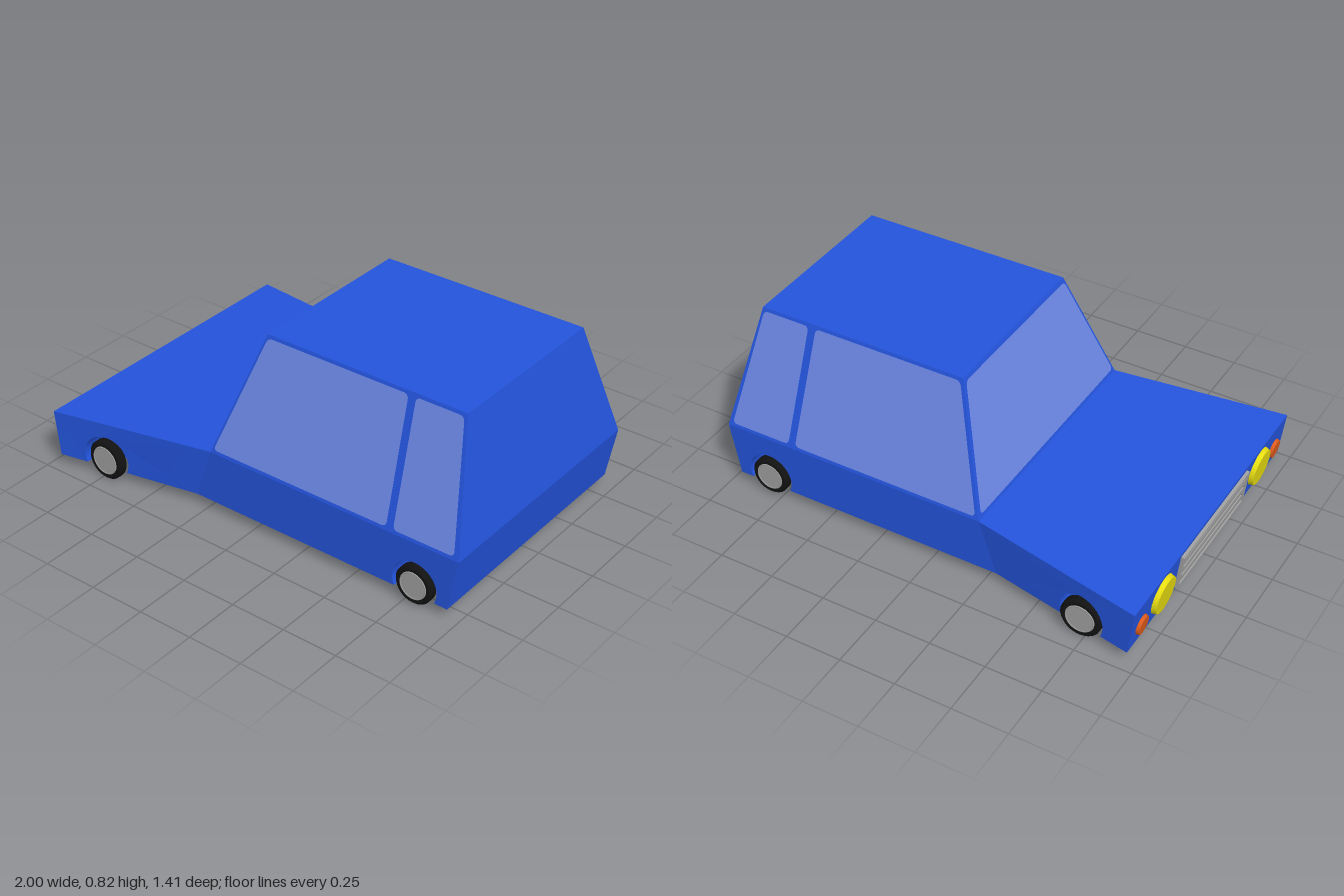
import * as THREE from 'three';

const mat = (name, color) => {
  const m = new THREE.MeshStandardMaterial({ color, side: THREE.DoubleSide });
  m.name = name;
  return m;
};

export function createModel() {
  const paint = mat('blue paint', 0x2454dc), glass = mat('pale blue glass', 0x6c88e6);
  const rubber = mat('black rubber', 0x121212), metal = mat('grey metal', 0xa0a0a0);
  const dark = mat('dark grille', 0x4a4a4a);
  const yellow = mat('yellow lamp', 0xe6dc10), orange = mat('orange lamp', 0xdc5a1c);

  const car = new THREE.Group();
  car.name = 'car';
  const add = (name, geo, material, parent = car) => {
    const m = new THREE.Mesh(geo, material);
    m.name = name;
    parent.add(m);
    return m;
  };

  // Flat outline laid onto a sloping surface: map(a, b) gives the 3D point
  const panel = (name, material, shape, map) => {
    const geo = new THREE.ShapeGeometry(shape, 6);
    const p = geo.attributes.position;
    for (let i = 0; i < p.count; i++) p.setXYZ(i, ...map(p.getX(i), p.getY(i)));
    geo.computeVertexNormals();
    return add(name, geo, material);
  };
  const outline = pts => new THREE.Shape(pts.map(p => new THREE.Vector2(...p)));

  // Polygon with softened corners
  const rounded = (pts, r = 0.022) => {
    const v = pts.map(p => new THREE.Vector2(...p)), s = new THREE.Shape();
    v.forEach((c, i) => {
      const toward = q => c.clone().add(q.clone().sub(c).setLength(r));
      const a = toward(v[(i + v.length - 1) % v.length]), b = toward(v[(i + 1) % v.length]);
      if (i) s.lineTo(a.x, a.y); else s.moveTo(a.x, a.y);
      s.quadraticCurveTo(c.x, c.y, b.x, b.y);
    });
    s.closePath();
    return s;
  };

  // Strip of quads between two rows of points
  const strip = (name, rowA, rowB) => {
    const pos = [];
    for (let i = 0; i + 1 < rowA.length; i++) {
      pos.push(...rowA[i], ...rowA[i + 1], ...rowB[i + 1], ...rowA[i], ...rowB[i + 1], ...rowB[i]);
    }
    const geo = new THREE.BufferGeometry();
    geo.setAttribute('position', new THREE.Float32BufferAttribute(pos, 3));
    geo.computeVertexNormals();
    return add(name, geo, paint);
  };
  const across = (name, [x1, y1, z1], [x2, y2, z2]) =>
    strip(name, [[x1, y1, z1], [x1, y1, -z1]], [[x2, y2, z2], [x2, y2, -z2]]);

  // Half-width of the lower body: flares toward the nose ahead of a slanted fold
  const sideZ = (x, y) => {
    const nose = -0.955 - 0.025 * (y - 0.05) / 0.205, fold = -0.3 + (y - 0.05) / 3;
    return 0.705 - 0.13 * THREE.MathUtils.clamp((x - nose) / (fold - nose), 0, 1);
  };
  const cabinZ = y => 0.575 - 0.175 * (y - 0.29) / 0.53;

  // Panels that span the full width
  across('bonnet', [-0.98, 0.255, 0.705], [-0.22, 0.29, 0.575]);
  across('nosePanel', [-0.955, 0.05, 0.705], [-0.98, 0.255, 0.705]);
  across('windscreenFrame', [-0.22, 0.29, 0.575], [-0.05, 0.82, 0.4]);
  across('roof', [-0.05, 0.82, 0.4], [0.9, 0.82, 0.4]);
  across('tailUpper', [0.9, 0.82, 0.4], [1, 0.29, 0.575]);
  across('tailLower', [1, 0.29, 0.575], [0.955, 0.05, 0.575]);

  // Wheel arch from its front foot over the top to its rear foot
  const arch = cx => {
    const start = Math.asin(-0.045 / 0.105), pts = [];
    for (let i = 0; i <= 20; i++) {
      const a = Math.PI - start + (2 * start - Math.PI) * i / 20;
      pts.push([cx + 0.105 * Math.cos(a), 0.095 + 0.105 * Math.sin(a)]);
    }
    return pts;
  };
  const axles = [
    { name: 'front', x: -0.73, y: 0.09, r: 0.09, z: 0.65, inner: 0.56 },
    { name: 'rear', x: 0.8, y: 0.095, r: 0.086, z: 0.5625, inner: 0.47 },
  ];
  const arches = axles.map(a => arch(a.x));

  // Floor with notches for the wheels
  const edge = [[-0.955, 0.705]];
  axles.forEach((a, i) => {
    const x1 = arches[i][0][0], x2 = arches[i][20][0];
    edge.push([x1, sideZ(x1, 0.05)], [x1, a.inner], [x2, a.inner], [x2, sideZ(x2, 0.05)]);
    if (!i) edge.push([-0.3, 0.575]);
  });
  edge.push([0.955, 0.575]);
  const mirrored = edge.map(([x, z]) => [x, -z]).reverse();
  panel('floor', paint, outline([...edge, ...mirrored]), (x, z) => [x, 0.05, z]);

  const tyreProfile = (r, w) => [
    [0, -w], [r * 0.9, -w], [r, -w * 0.6], [r, w * 0.6], [r * 0.9, w], [r * 0.74, w], [r * 0.7, w * 0.6], [0, w * 0.6],
  ].map(p => new THREE.Vector2(...p));

  for (const s of [1, -1]) {
    const side = s > 0 ? 'left' : 'right';
    const onBody = (x, y) => [x, y, s * sideZ(x, y)];
    const onCabin = off => (x, y) => [x, y, s * (cabinZ(y) + off)];

    // Lower flanks
    panel(side + 'FrontWing', paint,
      outline([[-0.955, 0.05], ...arches[0], [-0.3, 0.05], [-0.22, 0.29], [-0.98, 0.255]]), onBody);
    panel(side + 'RearFlank', paint,
      outline([[-0.3, 0.05], ...arches[1], [0.955, 0.05], [1, 0.29], [-0.22, 0.29]]), onBody);

    // Cabin side and its windows
    panel(side + 'CabinSide', paint,
      outline([[-0.22, 0.29], [1, 0.29], [0.9, 0.82], [-0.05, 0.82]]), onCabin(0));
    panel(side + 'DoorWindow', glass,
      rounded([[-0.203, 0.306], [0.662, 0.306], [0.637, 0.808], [-0.042, 0.808]]), onCabin(0.004));
    panel(side + 'RearQuarterWindow', glass,
      rounded([[0.695, 0.306], [0.977, 0.306], [0.89, 0.808], [0.672, 0.808]]), onCabin(0.004));

    axles.forEach((a, i) => {
      // Wheel well
      strip(side + a.name + 'WheelWell', arches[i].map(p => onBody(...p)),
        arches[i].map(([x, y]) => [x, y, s * a.inner]));
      panel(side + a.name + 'WellBack', paint, outline(arches[i]), (x, y) => [x, y, s * a.inner]);

      // Wheel
      const wheel = new THREE.Group();
      wheel.name = side + a.name + 'Wheel';
      wheel.position.set(a.x, a.y, s * a.z);
      wheel.rotation.x = s * Math.PI / 2;
      car.add(wheel);
      const tyre = new THREE.LatheGeometry(tyreProfile(a.r, 0.0225), 32).toNonIndexed();
      tyre.computeVertexNormals();
      add('tyre', tyre, rubber, wheel);
      add('hubcap', new THREE.CylinderGeometry(a.r * 0.68, a.r * 0.68, 0.02, 32), metal, wheel)
        .position.y = 0.0125;
      const rim = add('hubRim', new THREE.TorusGeometry(a.r * 0.68, 0.004, 6, 32), metal, wheel);
      rim.rotation.x = Math.PI / 2;
      rim.position.y = 0.021;
    });
  }

  // Windscreen
  panel('windscreen', glass,
    rounded([[-0.555, 0.31], [0.555, 0.31], [0.392, 0.805], [-0.392, 0.805]]),
    (z, y) => [-0.22 + 0.17 * (y - 0.29) / 0.53 - 0.005, y, z]);

  // Nose fittings share the slope of the nose panel
  const face = new THREE.Group();
  face.name = 'noseFittings';
  face.position.set(-0.9675, 0.1525, 0);
  face.rotation.z = Math.atan(0.025 / 0.205);
  car.add(face);
  const lamp = (name, material, r, y, z, depth) => {
    const m = add(name, new THREE.CylinderGeometry(r * 0.93, r, depth, 32), material, face);
    m.rotation.z = Math.PI / 2;
    m.position.set(-depth / 2, y, z);
  };
  for (const s of [1, -1]) {
    lamp('headlight', yellow, 0.087, 0.004, s * 0.447, 0.02);
    lamp('indicator', orange, 0.044, -0.02, s * 0.615, 0.014);
  }
  const block = (name, material, depth, h, w, y, z) =>
    add(name, new THREE.BoxGeometry(depth, h, w), material, face).position.set(-depth / 2, y, z);
  block('grilleBack', dark, 0.006, 0.17, 0.6, 0, 0);
  for (const s of [1, -1]) {
    block('grilleFrameRail', metal, 0.014, 0.012, 0.61, s * 0.08, 0);
    block('grilleFrameEnd', metal, 0.014, 0.17, 0.012, 0, s * 0.3);
  }
  for (let i = -1; i <= 1; i++) block('grilleSlat', metal, 0.012, 0.03, 0.56, i * 0.046, 0);

  return car;
}
